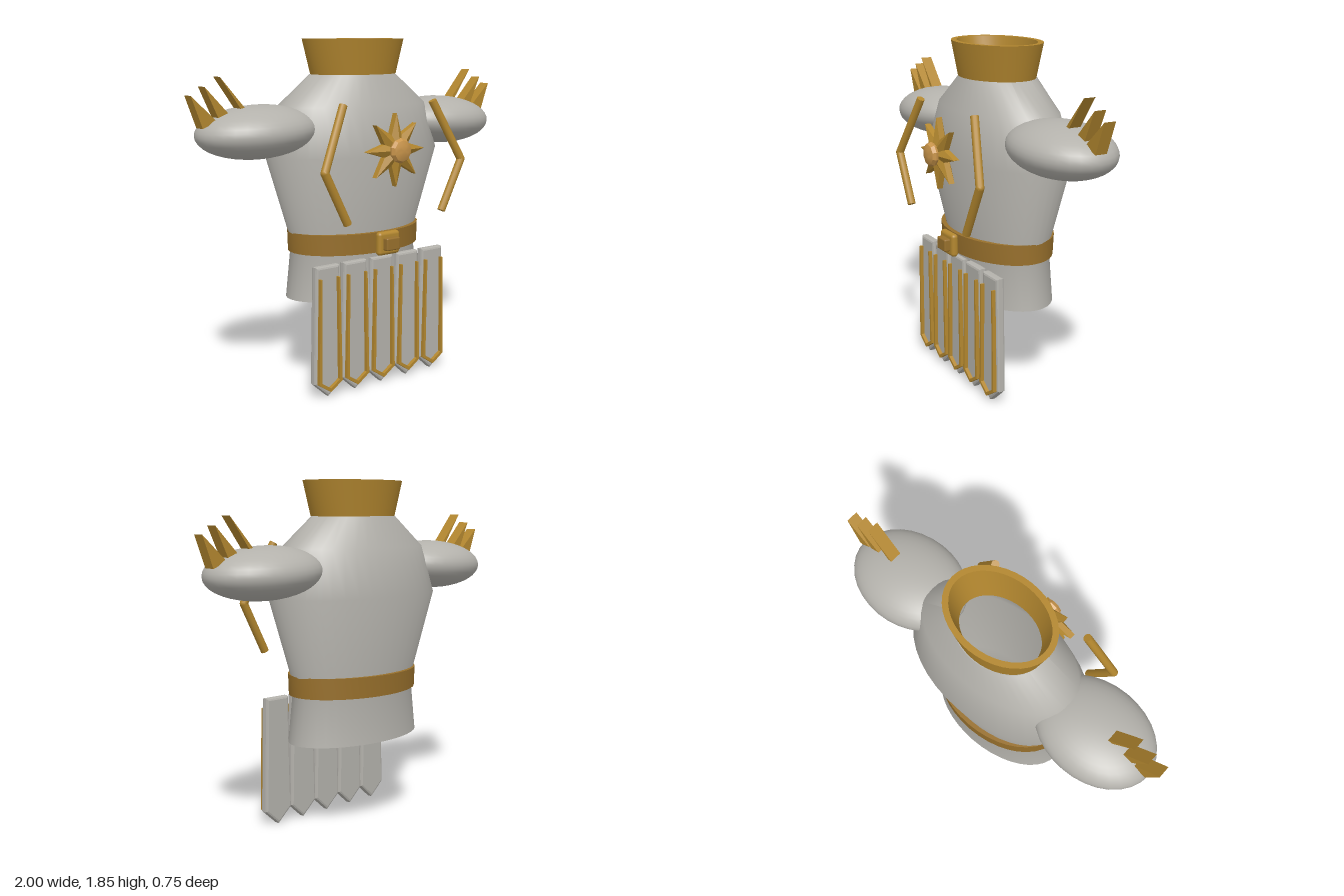
import * as THREE from 'three';
import { toCreasedNormals } from 'three/addons/utils/BufferGeometryUtils.js';
import { RoundedBoxGeometry } from 'three/addons/geometries/RoundedBoxGeometry.js';

const CZ = -0.055; // depth of the body axis

// Closed elliptical shell: rows of [y, half width, half depth], outside going up, inside going down
function shell(rows, segments = 40) {
  const loop = [...rows, rows[0]];
  const geo = new THREE.LatheGeometry(loop.map(([y, rx]) => new THREE.Vector2(rx, y)), segments);
  const p = geo.attributes.position;
  for (let i = 0; i < p.count; i++) {
    const [, rx, rz] = loop[i % loop.length];
    p.setZ(i, p.getZ(i) * rz / rx);
  }
  return toCreasedNormals(geo, 0.7);
}

const withInside = (rows, t) =>
  [...rows, ...rows.map(([y, rx, rz]) => [y, rx - t, rz - t]).reverse()];

const polygon = (pts) => new THREE.Shape(pts.map(([x, y]) => new THREE.Vector2(x, y)));

const extrude = (pts, depth, bevel = 0) => new THREE.ExtrudeGeometry(polygon(pts), {
  depth: depth - 2 * bevel, bevelEnabled: bevel > 0, bevelSize: bevel,
  bevelThickness: bevel, bevelOffset: -bevel, bevelSegments: 2,
}).translate(0, 0, bevel);

// Eight-pointed star, ridged on both faces
function starGeometry(outer, inner, half, rim) {
  const profile = [[0.0001, -half], [1, -rim], [1, rim], [0.0001, half]];
  const geo = new THREE.LatheGeometry(profile.map(([x, y]) => new THREE.Vector2(x, y)), 16);
  const p = geo.attributes.position;
  for (let i = 0; i < p.count; i++) {
    const r = Math.floor(i / profile.length) % 2 ? inner : outer;
    p.setXYZ(i, p.getX(i) * r, p.getY(i), p.getZ(i) * r);
  }
  return toCreasedNormals(geo.rotateX(Math.PI / 2), 0.1);
}

export function createModel() {
  const model = new THREE.Group();
  model.name = 'ceremonialArmour';
  const material = (name, color) => {
    const m = new THREE.MeshStandardMaterial({ color });
    m.name = name;
    return m;
  };
  const steel = material('steel', 0xb4b2ac);
  const gold = material('gold', 0xb3872f);
  const bronze = material('bronze', 0x98702c);
  const copper = material('copper', 0xc8944a);

  const add = (name, geo, mat, x = 0, y = 0, z = 0) => {
    const mesh = new THREE.Mesh(geo, mat);
    mesh.name = name;
    mesh.position.set(x, y, z);
    model.add(mesh);
    return mesh;
  };

  // Hollow body, collar and belt
  add('breastplate', shell(withInside([
    [0.48, 0.42, 0.245], [0.78, 0.385, 0.228], [1.25, 0.53, 0.325],
    [1.5, 0.46, 0.258], [1.66, 0.25, 0.19],
  ], 0.025)), steel, 0, 0, CZ);
  add('collar', shell(withInside([[1.66, 0.25, 0.19], [1.845, 0.298, 0.221]], 0.03)), gold, 0, 0, CZ + 0.005);
  add('belt', shell(withInside([[0.73, 0.4, 0.263], [0.84, 0.402, 0.27]], 0.025)), bronze, 0, 0, CZ + 0.005);

  // Buckle
  add('buckleFrame', new RoundedBoxGeometry(0.145, 0.125, 0.04, 3, 0.018), gold, 0, 0.783, 0.242);
  add('bucklePlate', new RoundedBoxGeometry(0.09, 0.068, 0.04, 2, 0.008), bronze, 0, 0.783, 0.274);

  // Chest star with its boss
  add('chestStar', starGeometry(0.19, 0.085, 0.048, 0.016), gold, 0, 1.28, 0.293);
  const boss = [[0.06, 0], [0.066, 0.014], [0.055, 0.032], [0.03, 0.042], [0.0001, 0.045]];
  add('starBoss', toCreasedNormals(new THREE.LatheGeometry(
    boss.map(([x, y]) => new THREE.Vector2(x, y)), 10).rotateX(Math.PI / 2), 0.4), copper, 0, 1.28, 0.328);

  // Shoulders, spikes and chest bars on both sides
  const spikes = [
    [[0.86, 1.45], [0.94, 1.42], [1.0, 1.58]],
    [[0.79, 1.48], [0.85, 1.46], [0.925, 1.62]],
    [[0.69, 1.495], [0.715, 1.49], [0.84, 1.665]],
  ];
  const bar = [[0.3, 1.52, 0.25], [0.46, 1.2, 0.31], [0.32, 0.93, 0.31]].map((p) => new THREE.Vector3(...p));
  for (const [side, s] of [['left', 1], ['right', -1]]) {
    const pauldron = add(side + 'Pauldron', new THREE.SphereGeometry(1, 32, 20), steel, s * 0.615, 1.385, CZ + 0.003);
    pauldron.scale.set(0.33, 0.135, 0.248);
    pauldron.rotation.z = -s * 0.04;

    spikes.forEach((pts, i) => {
      add(side + 'Spike' + (i + 1), extrude(pts.map(([x, y]) => [s * x, y]), 0.064), gold, 0, 0, -0.082);
    });

    const pts = bar.map((p) => new THREE.Vector3(s * p.x, p.y, p.z));
    for (let i = 0; i < 2; i++) {
      const dir = pts[i + 1].clone().sub(pts[i]);
      const mid = pts[i].clone().add(pts[i + 1]).multiplyScalar(0.5);
      const rod = add(side + (i ? 'LowerBar' : 'UpperBar'),
        new THREE.CylinderGeometry(0.022, 0.022, dir.length(), 12), gold, mid.x, mid.y, mid.z);
      rod.quaternion.setFromUnitVectors(new THREE.Vector3(0, 1, 0), dir.normalize());
    }
    add(side + 'BarJoint', new THREE.SphereGeometry(0.022, 12, 8), gold, pts[1].x, pts[1].y, pts[1].z);
  }

  // Skirt straps with raised trim
  const strap = extrude([[-0.074, 0.7], [-0.089, 0.08], [0, 0], [0.089, 0.08], [0.074, 0.7]].reverse(), 0.047, 0.012);
  const trim = extrude([
    [-0.062, 0.64], [-0.075, 0.08], [0, 0.03], [0.075, 0.08], [0.062, 0.64],
    [0.052, 0.64], [0.058, 0.088], [0, 0.05], [-0.058, 0.088], [-0.052, 0.64],
  ], 0.022);
  for (let i = -2; i <= 2; i++) {
    add('skirtStrap' + (i + 3), strap, steel, i * 0.18, 0, 0.153);
    add('strapTrim' + (i + 3), trim, gold, i * 0.18, 0, 0.198);
  }
  return model;
}
